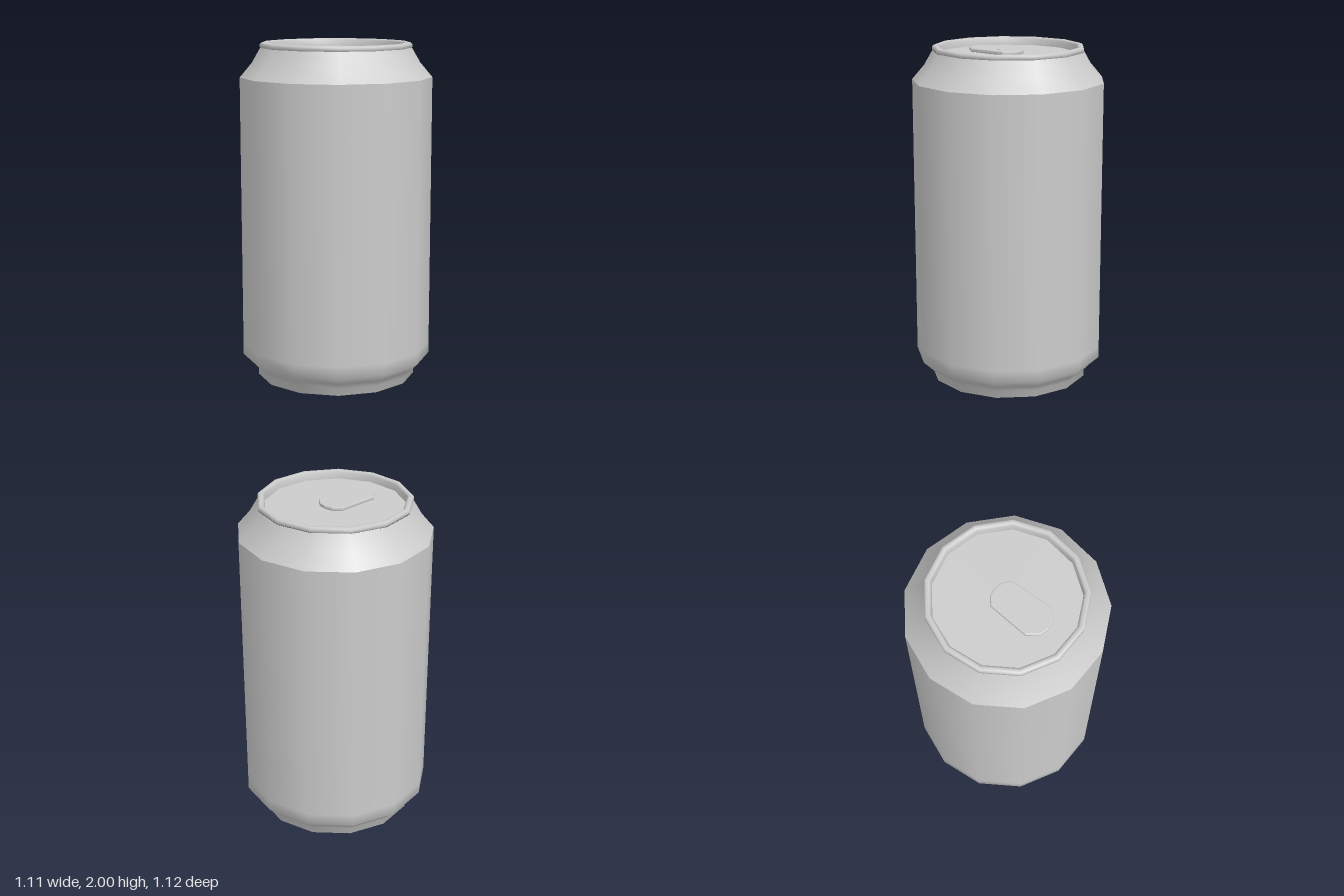
import * as THREE from 'three';

const SIDES = 13;
const material = new THREE.MeshStandardMaterial({ color: 0xcccccc });

// Revolves a [radius, height] profile, with one corner pointing to +x
function revolve(name, profile) {
  const points = profile.map(([r, y]) => new THREE.Vector2(r, y));
  const mesh = new THREE.Mesh(new THREE.LatheGeometry(points, SIDES, Math.PI / 2), material);
  mesh.name = name;
  return mesh;
}

// Closed outline mirrored across its long axis; half runs from left tip to right tip
function mirrored(half, PathType) {
  const back = half.slice(1, -1).reverse().map(([x, y]) => [x, -y]);
  return new PathType([...half, ...back].map(([x, y]) => new THREE.Vector2(x, y)));
}

function createPullTab() {
  const outline = mirrored(
    [[-0.282, 0], [-0.27, 0.053], [-0.208, 0.104], [0.038, 0.091], [0.073, 0.05], [0.083, 0]], THREE.Shape);
  // Large finger hole and small rivet hole
  outline.holes.push(
    mirrored([[-0.257, 0], [-0.247, 0.045], [-0.212, 0.07], [-0.17, 0.077], [-0.132, 0.067],
      [-0.104, 0.035], [-0.097, 0]], THREE.Path),
    mirrored([[-0.072, 0], [-0.062, 0.04], [-0.04, 0.063], [0.015, 0.06], [0.048, 0.033], [0.058, 0]], THREE.Path));
  const bevel = 0.006;
  const geometry = new THREE.ExtrudeGeometry(outline, {
    depth: 0.01, bevelEnabled: true, bevelThickness: bevel, bevelSize: bevel,
    bevelOffset: -bevel, bevelSegments: 2,
  });
  geometry.rotateX(-Math.PI / 2);
  const tab = new THREE.Mesh(geometry, material);
  tab.name = 'pullTab';
  tab.position.y = 1.958;
  return tab;
}

export function createModel() {
  const can = new THREE.Group();
  can.name = 'drinkCan';

  can.add(
    // Hollow dome under the can
    revolve('bottomDome', [[0, 0.11], [0.15, 0.1], [0.3, 0.07], [0.4, 0.035], [0.445, 0.008]]),
    // Standing ring, lower taper and straight wall
    revolve('body', [[0.445, 0.008], [0.457, 0], [0.474, 0], [0.475, 0.04], [0.512, 0.08], [0.565, 0.13],
      [0.565, 0.2], [0.565, 1.8]]),
    // Shoulder narrowing to the rim
    revolve('shoulder', [[0.565, 1.8], [0.493, 1.885], [0.444, 1.97]]),
    // Rounded rim around the lid
    revolve('rim', [[0.437, 1.968], [0.446, 1.974], [0.446, 1.99], [0.437, 2], [0.419, 2], [0.407, 1.99],
      [0.405, 1.95]]),
    revolve('lid', [[0.405, 1.952], [0, 1.952]]),
    createPullTab(),
  );

  // Centres the odd-sided body on x
  can.children.forEach((part) => { part.position.x = -0.008; });
  return can;
}
